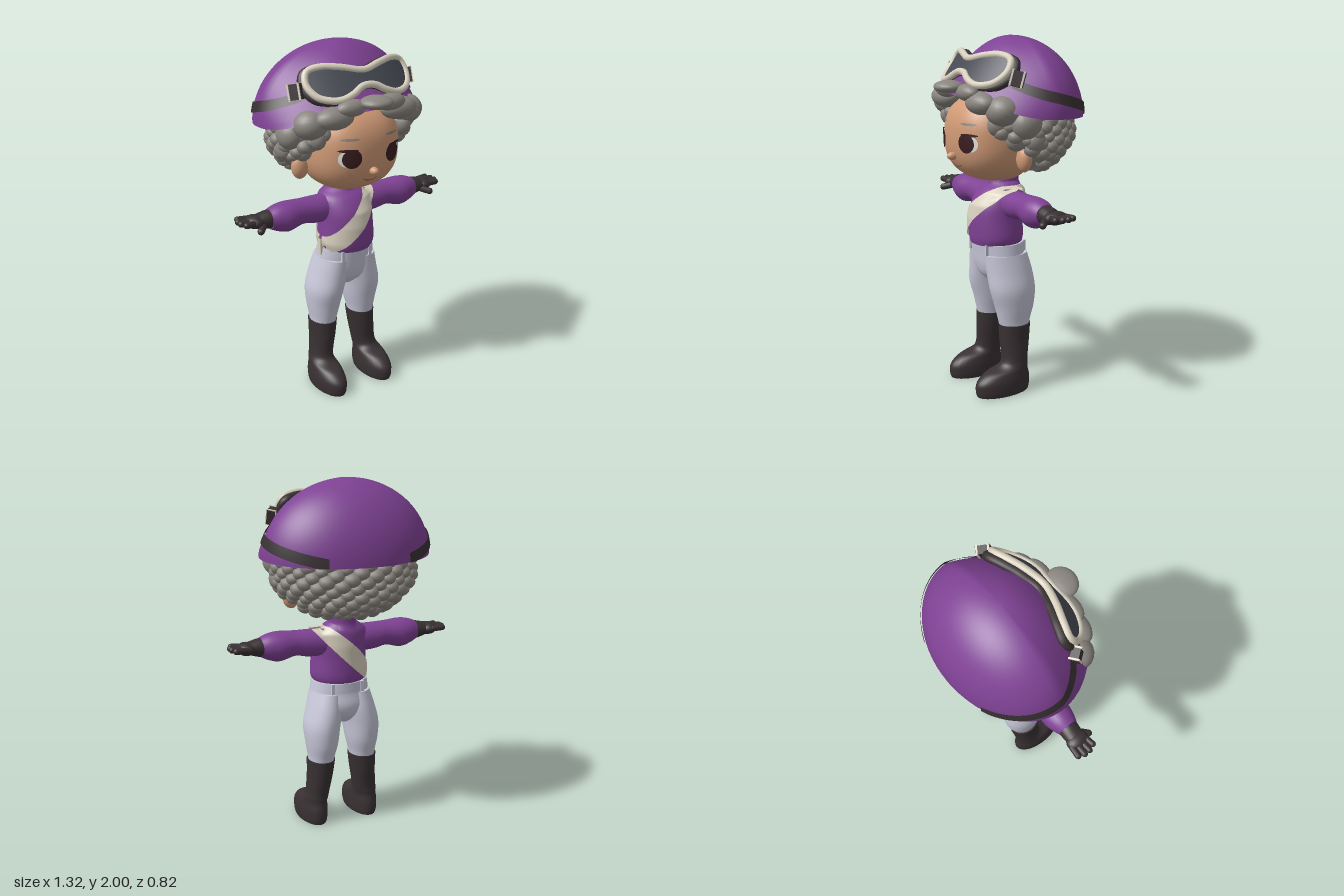
import * as THREE from 'three';
import { mergeGeometries } from 'three/addons/utils/BufferGeometryUtils.js';

const mat = (name, color) => {
  const m = new THREE.MeshStandardMaterial({ color, side: THREE.DoubleSide });
  m.name = name;
  return m;
};
const M = {
  purple: mat('purple silk', 0x7f4294), cream: mat('cream', 0xd9d1bf), dark: mat('dark leather', 0x393133),
  lens: mat('lens grey', 0x484b55), skin: mat('skin', 0xd09a76), hair: mat('grey hair', 0x8b8680),
  white: mat('trouser white', 0xc8c8da), iris: mat('eye brown', 0x3a1d1f), eye: mat('eye white', 0xeeeeea),
  lip: mat('lip line', 0x8a5344),
};

const mesh = (parent, name, geo, m) => {
  const o = new THREE.Mesh(geo, m);
  o.name = name;
  parent.add(o);
  return o;
};

// Grid surface from f(u, v); u may wrap round
function grid(nu, nv, f, wrap = false) {
  const pos = [], idx = [], cols = wrap ? nu : nu + 1;
  for (let j = 0; j <= nv; j++) for (let i = 0; i < cols; i++) pos.push(...f(i / nu, j / nv));
  for (let j = 0; j < nv; j++) for (let i = 0; i < nu; i++) {
    const a = j * cols + i, b = j * cols + (i + 1) % cols, c = a + cols, d = b + cols;
    idx.push(a, c, b, b, c, d);
  }
  const g = new THREE.BufferGeometry();
  g.setAttribute('position', new THREE.Float32BufferAttribute(pos, 3));
  g.setIndex(idx);
  g.computeVertexNormals();
  return g;
}

// Capped loft through elliptical rings [y, cx, cz, rx, rz], bottom to top
function loft(rings, nu = 28, sub = 5) {
  const n = (rings.length - 1) * sub, rows = [];
  const cr = (p0, p1, p2, p3, t) => p1 + 0.5 * t * (p2 - p0 + t * (2 * p0 - 5 * p1 + 4 * p2 - p3 + t * (3 * (p1 - p2) + p3 - p0)));
  const at = i => rings[Math.min(rings.length - 1, Math.max(0, i))];
  for (let k = 0; k <= n; k++) {
    const i = Math.min(Math.floor(k / sub), rings.length - 2), t = k / sub - i;
    rows.push(at(i).map((_, c) => cr(at(i - 1)[c], at(i)[c], at(i + 1)[c], at(i + 2)[c], t)));
  }
  const cap = r => [r[0], r[1], r[2], 0, 0];
  const all = [cap(rows[0]), rows[0], ...rows, rows[n], cap(rows[n])];
  return grid(nu, all.length - 1, (u, v) => {
    const [y, cx, cz, rx, rz] = all[Math.round(v * (all.length - 1))], a = u * Math.PI * 2;
    return [cx + rx * Math.cos(a), y, cz + rz * Math.sin(a)];
  }, true);
}

const blob = (x, y, z, rx, ry, rz, seg = 20) =>
  new THREE.SphereGeometry(1, seg, Math.round(seg * 0.7)).scale(rx, ry, rz).translate(x, y, z);

function capsule(a, b, r) {
  const p = new THREE.Vector3(...a), q = new THREE.Vector3(...b), d = q.clone().sub(p);
  const g = new THREE.CapsuleGeometry(r, d.length(), 6, 12);
  g.applyQuaternion(new THREE.Quaternion().setFromUnitVectors(new THREE.Vector3(0, 1, 0), d.clone().normalize()));
  const c = p.add(q).multiplyScalar(0.5);
  return g.translate(c.x, c.y, c.z);
}

// Face: rounded super-ellipsoid
const F = { y: 1.46, z: 0.045, a: 0.265, b: 0.245, c: 0.265, n: 2.5 };
const faceZ = (x, y) => F.z + F.c * Math.pow(Math.max(0,
  1 - Math.pow(Math.abs(x) / F.a, F.n) - Math.pow(Math.abs(y - F.y) / F.b, F.n)), 1 / F.n);
const facePatch = (cx, cy, rx, ry, off) => grid(28, 4, (u, v) => {
  const x = cx + rx * v * Math.cos(u * Math.PI * 2), y = cy + ry * v * Math.sin(u * Math.PI * 2);
  return [x, y, faceZ(x, y) + off];
}, true);

// Helmet surface point: angle from the front, height fraction above the rim
function helmetPoint(phi, h, k = 1) {
  const c = Math.cos(phi), f = Math.max(0, c), rim = 1.59 + 0.11 * f * f - 0.015 * Math.max(0, -c);
  const ct = Math.pow(h, 1 / (1 + 1.6 * f)), st = Math.sqrt(Math.max(0, 1 - ct * ct)) * k;
  return [0.48 * st * Math.sin(phi), rim + (2 - rim) * h, -0.06 + (c > 0 ? 0.39 : 0.35) * st * c];
}

const TORSO = [[0.855, 0, 0.04, 0.15, 0.142], [0.9, 0, 0.04, 0.165, 0.15], [1.0, 0, 0.04, 0.157, 0.15],
  [1.08, 0, 0.03, 0.155, 0.145], [1.15, 0, 0.01, 0.15, 0.12], [1.185, 0, -0.005, 0.11, 0.09], [1.205, 0, -0.01, 0.08, 0.075]];
function torsoHalf(x, y) {
  let i = 0;
  while (i < TORSO.length - 2 && TORSO[i + 1][0] < y) i++;
  const t = THREE.MathUtils.clamp((y - TORSO[i][0]) / (TORSO[i + 1][0] - TORSO[i][0]), 0, 1);
  const [, , cz, rx, rz] = TORSO[i].map((v, k) => v + (TORSO[i + 1][k] - v) * t);
  const arm = x > 0.1 ? Math.sqrt(Math.max(0, 0.0064 - (y - 1.09) ** 2)) : 0;
  return [cz, Math.max(arm, rz * Math.sqrt(Math.max(0, 1 - (x / rx) ** 2)))];
}

// Limbs, ear, eye and buckle of one side
function buildSide() {
  const s = new THREE.Group();
  mesh(s, 'trouserLeg', loft([[0.375, 0.13, -0.005, 0.072, 0.086], [0.42, 0.128, -0.005, 0.077, 0.097], [0.5, 0.125, -0.007, 0.092, 0.118],
    [0.6, 0.121, 0.002, 0.102, 0.137], [0.7, 0.1, 0.01, 0.1, 0.138], [0.8, 0.085, 0.025, 0.087, 0.13]]), M.white);
  mesh(s, 'boot', loft([[0, 0.16, 0.088, 0.078, 0.162], [0.03, 0.16, 0.088, 0.083, 0.17], [0.08, 0.16, 0.085, 0.083, 0.167],
    [0.125, 0.158, 0.062, 0.076, 0.135], [0.155, 0.155, 0.017, 0.07, 0.09], [0.2, 0.148, 0.004, 0.069, 0.079],
    [0.3, 0.136, -0.002, 0.074, 0.089], [0.395, 0.13, -0.006, 0.081, 0.094]]), M.dark);
  const along = rings => loft(rings).rotateZ(-Math.PI / 2);
  mesh(s, 'sleeve', along([[0.08, -1.09, 0.01, 0.08, 0.08], [0.2, -1.093, 0.01, 0.077, 0.077], [0.28, -1.1, 0.012, 0.071, 0.074],
    [0.37, -1.092, 0.015, 0.084, 0.084], [0.43, -1.095, 0.015, 0.074, 0.074], [0.475, -1.097, 0.015, 0.055, 0.058]]), M.purple);
  mesh(s, 'gloveCuff', along([[0.45, -1.098, 0.012, 0.053, 0.056], [0.49, -1.098, 0.012, 0.05, 0.056], [0.54, -1.1, 0.01, 0.036, 0.052]]), M.dark);
  mesh(s, 'gloveHand', mergeGeometries([blob(0.558, 1.1, 0.008, 0.052, 0.036, 0.066),
    ...[-0.046, -0.013, 0.02, 0.053].map((z, i) => capsule([0.57, 1.104, z * 0.9], [[0.63, 0.643, 0.643, 0.628][i], 1.107, z * 1.05], 0.0175)),
    capsule([0.52, 1.085, 0.045], [0.562, 1.07, 0.088], 0.019)]), M.dark);
  mesh(s, 'ear', blob(0.285, 1.365, 0.03, 0.05, 0.07, 0.04), M.skin);
  mesh(s, 'eyeWhite', facePatch(0.15, 1.447, 0.042, 0.045, 0.003), M.eye);
  mesh(s, 'iris', facePatch(0.126, 1.447, 0.05, 0.052, 0.006), M.iris);
  mesh(s, 'eyebrow', facePatch(0.13, 1.548, 0.05, 0.007, 0.004), M.hair);
  mesh(s, 'lash', facePatch(0.145, 1.492, 0.05, 0.008, 0.007), M.iris);
  // Goggle strap, following the helmet down to the back rim
  mesh(s, 'goggleStrap', grid(30, 2, (u, v) => {
    const phi = THREE.MathUtils.degToRad(54 + 98 * u);
    return helmetPoint(phi, Math.max(0, 0.39 - 0.34 * u + (v - 0.5) * 0.14), 1.02);
  }), M.dark);
  const buckle = new THREE.Group();
  buckle.name = 'strapBuckle';
  buckle.position.set(0.352, 1.795, 0.115);
  buckle.rotation.set(-0.3, 0.95, 0);
  mesh(buckle, 'buckleBlock', new THREE.BoxGeometry(0.075, 0.08, 0.045), M.dark);
  for (const x of [-0.03, 0.03]) mesh(buckle, 'buckleBar', new THREE.BoxGeometry(0.01, 0.088, 0.055), M.cream).position.x = x;
  s.add(buckle);
  mesh(s, 'templeCurls', mergeGeometries([[0.2, 1.665, 0.245, 0.11, 0.06, 0.07], [0.3, 1.63, 0.17, 0.095, 0.08, 0.09],
    [0.36, 1.56, 0.06, 0.07, 0.08, 0.085], [0.27, 1.555, 0.17, 0.05, 0.065, 0.07], [0.12, 1.715, 0.28, 0.09, 0.045, 0.05],
    [0.365, 1.47, 0.01, 0.05, 0.06, 0.06], [0.305, 1.475, 0.09, 0.05, 0.06, 0.06]].map(b => blob(...b))), M.hair);
  for (const [x, z] of [[0.09, 0.152], [0.09, -0.092]])
    mesh(s, 'beltLoop', new THREE.BoxGeometry(0.018, 0.06, 0.014), M.white).position.set(x, 0.832, z);
  return s;
}

export function createModel() {
  const root = new THREE.Group();
  root.name = 'riderFigure';
  const left = buildSide(), right = left.clone();
  left.name = 'leftSide';
  right.name = 'rightSide';
  right.scale.x = -1;
  root.add(left, right);

  // Body
  mesh(root, 'hips', loft([[0.62, 0, 0.005, 0.05, 0.07], [0.67, 0, 0.01, 0.14, 0.12], [0.73, 0, 0.014, 0.185, 0.138],
    [0.8, 0, 0.025, 0.172, 0.136], [0.86, 0, 0.03, 0.16, 0.138]]), M.white);
  mesh(root, 'waistband', loft([[0.805, 0, 0.028, 0.173, 0.14], [0.862, 0, 0.032, 0.164, 0.143]]), M.white);
  mesh(root, 'jersey', loft(TORSO), M.purple);
  mesh(root, 'collar', loft([[1.17, 0, -0.01, 0.1, 0.1], [1.2, 0, -0.01, 0.08, 0.088], [1.235, 0, -0.015, 0.077, 0.082]]), M.purple);
  mesh(root, 'neck', loft([[1.15, 0, 0, 0.06, 0.065], [1.3, 0, 0, 0.06, 0.065]]), M.skin);
  // Sash: a loop over the left shoulder to the right side of the waist
  mesh(root, 'sash', grid(96, 6, (u, v) => {
    const a = u * Math.PI * 2 + 0.0001, c = Math.cos(a), w = (v - 0.5) * 0.1, d = (c - 1) * Math.PI / 4;
    const x = -0.015 + 0.16 * c + w * Math.cos(d), y = 1.03 + 0.157 * c + w * Math.sin(d);
    const [cz, half] = torsoHalf(x, y);
    return [x, y, cz + Math.sign(Math.sin(a)) * (half + 0.013)];
  }, true), M.cream);

  // Head
  const head = new THREE.SphereGeometry(1, 48, 36).rotateY(-Math.PI / 2), hp = head.attributes.position;
  for (let i = 0; i < hp.count; i++) {
    const d = new THREE.Vector3().fromBufferAttribute(hp, i), c = d.z > 0 ? F.c : 0.18;
    const r = Math.pow(Math.abs(d.x / F.a) ** F.n + Math.abs(d.y / F.b) ** F.n + Math.abs(d.z / c) ** F.n, -1 / F.n);
    hp.setXYZ(i, d.x * r, F.y + d.y * r, F.z + d.z * r);
  }
  head.computeVertexNormals();
  mesh(root, 'head', head, M.skin);
  mesh(root, 'nose', blob(0, 1.365, 0.31, 0.024, 0.022, 0.032), M.skin);
  const smile = [-0.045, -0.025, 0, 0.025, 0.045].map(x => new THREE.Vector3(x, 1.308 + 6 * x * x, faceZ(x, 1.31) + 0.001));
  mesh(root, 'mouth', new THREE.TubeGeometry(new THREE.CatmullRomCurve3(smile), 16, 0.004, 6), M.lip);

  // Hair: a shell cut back around the face, covered in curls
  const front = (x, y) => Math.min(Math.max(-0.02 + 0.8 * (y - 1.39), -0.02 + 2 * (y - 1.39)), Math.abs(x) < 0.24 ? 0.05 : 1);
  const shell = blob(0, 1.51, -0.04, 0.385, 0.26, 0.32, 48), sp = shell.attributes.position;
  for (let i = 0; i < sp.count; i++) sp.setZ(i, Math.min(sp.getZ(i), front(sp.getX(i), sp.getY(i))));
  shell.computeVertexNormals();
  mesh(root, 'hairShell', shell, M.hair);
  const curls = [], N = 330;
  for (let i = 0; i < N; i++) {
    const ny = 1 - 2 * (i + 0.5) / N, r = Math.sqrt(1 - ny * ny), a = i * 2.39996;
    const x = 0.378 * r * Math.cos(a), y = 1.51 + 0.253 * ny, z = -0.04 + 0.313 * r * Math.sin(a);
    if (y > 1.67 || z > front(x, y) - 0.02) continue;
    const s = 0.036 + 0.012 * Math.abs(Math.sin(i * 12.9898));
    curls.push(blob(x, y, z, s, s * 0.85, s, 12));
  }
  mesh(root, 'curls', mergeGeometries(curls), M.hair);
  mesh(root, 'frontTuft', blob(0, 1.738, 0.325, 0.09, 0.035, 0.082), M.hair);

  // Helmet
  mesh(root, 'helmet', grid(64, 28, (u, v) => helmetPoint(-u * Math.PI * 2, Math.sin(v * Math.PI / 2)), true), M.purple);

  // Goggles, curved round the front of the helmet
  const half = [[0, 1.882], [0.12, 1.903], [0.22, 1.91], [0.29, 1.888], [0.31, 1.83], [0.275, 1.773], [0.18, 1.757], [0.1, 1.78], [0.045, 1.808], [0, 1.815]];
  const outline = [...half, ...half.slice(1, -1).reverse().map(([x, y]) => [-x, y])];
  const bend = (x, y) => new THREE.Vector3(x, y, 0.26 - 0.7 * (y - 1.8) - 0.96 * x * x);
  const rim = new THREE.CatmullRomCurve3(outline.map(p => bend(...p)), true);
  mesh(root, 'goggleFrame', new THREE.TubeGeometry(rim, 120, 0.019, 10, true), M.cream);
  mesh(root, 'goggleGasket', new THREE.TubeGeometry(rim, 120, 0.025, 10, true), M.dark).position.set(0, -0.016, -0.03);
  mesh(root, 'goggleLens', grid(80, 8, (u, v) => {
    const p = rim.getPoint(u), q = bend(p.x * v, 1.845 + (p.y - 1.845) * v);
    return [q.x, q.y, q.z + 0.006];
  }, true), M.lens);
  return root;
}
